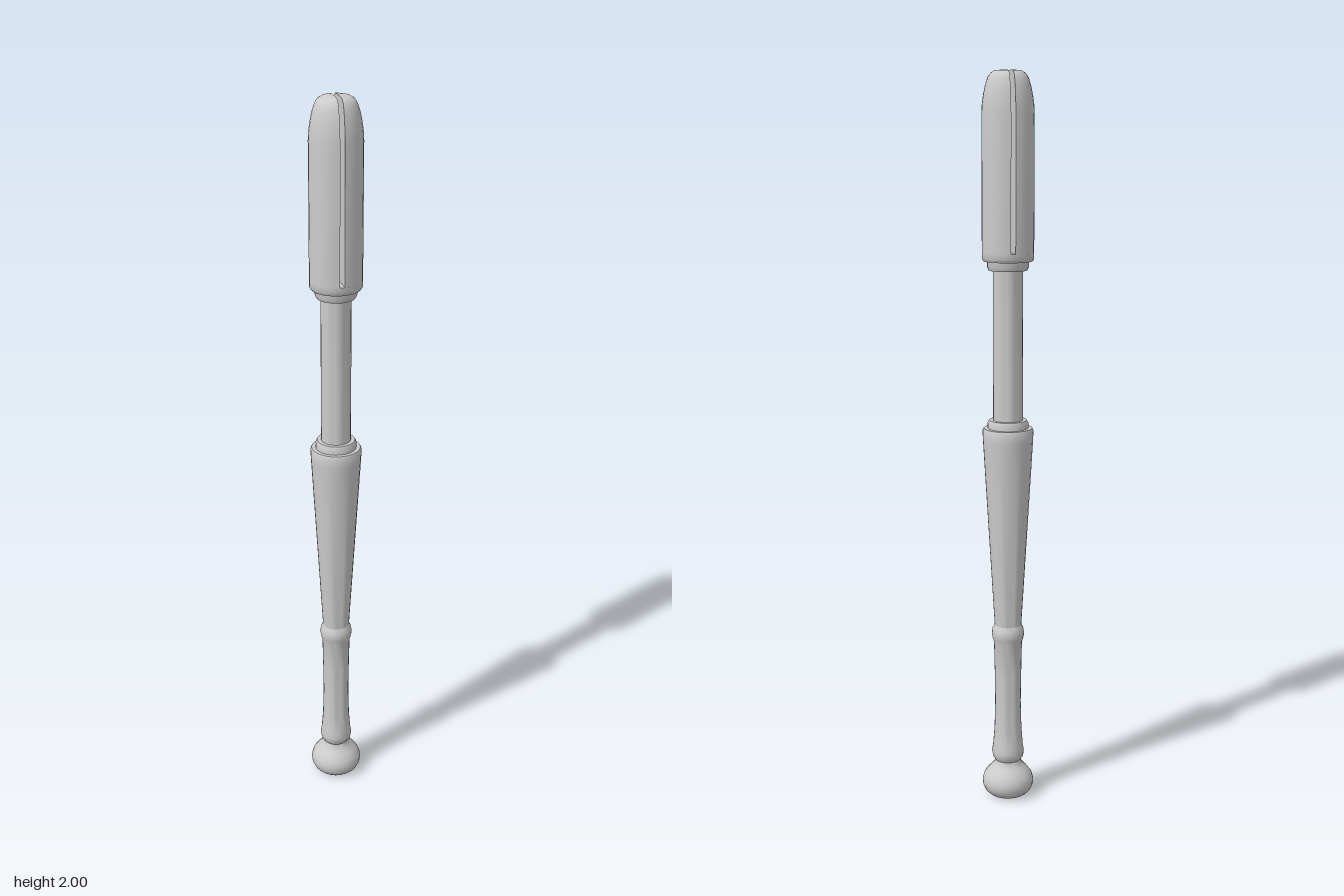
import * as THREE from 'three';
import { toCreasedNormals } from 'three/addons/utils/BufferGeometryUtils.js';

const SIDES = 24;
const material = new THREE.MeshStandardMaterial({ color: 0xcccccc });

function part(name, geometry) {
  const mesh = new THREE.Mesh(toCreasedNormals(geometry, 0.6), material);
  mesh.name = name;
  return mesh;
}

// Turned part from [radius, height] pairs, bottom to top
function turned(name, profile) {
  const points = profile.map(([r, y]) => new THREE.Vector2(r, y));
  return part(name, new THREE.LatheGeometry(points, SIDES));
}

// Half of a turned solid, cut flat at x = gap
function halfTurned(profile, gap) {
  const n = SIDES / 2 + 1;
  const positions = [], indices = [];
  for (const [r, y] of profile) {
    const reach = Math.acos(gap / r);
    for (let i = 0; i < n; i++) {
      const a = -reach + (2 * reach * i) / (n - 1);
      positions.push(r * Math.cos(a), y, r * Math.sin(a));
    }
  }
  for (let j = 0; j < profile.length - 1; j++) {
    for (let i = 0; i < n; i++) {
      const p = j * n + i, q = j * n + ((i + 1) % n);
      indices.push(p, p + n, q, q, p + n, q + n);
    }
  }
  // Top cap
  const top = (profile.length - 1) * n;
  for (let i = 1; i < n - 1; i++) indices.push(top, top + i + 1, top + i);
  const geometry = new THREE.BufferGeometry();
  geometry.setAttribute('position', new THREE.Float32BufferAttribute(positions, 3));
  geometry.setIndex(indices);
  return geometry;
}

export function createModel() {
  const group = new THREE.Group();
  group.name = 'baton';

  // Round pommel with a recess underneath
  group.add(turned('pommel', [
    [0, 0.03], [0.034, 0.03], [0.038, 0.008], [0.044, 0], [0.053, 0.004],
    [0.064, 0.014], [0.071, 0.029], [0.072, 0.044], [0.067, 0.06],
    [0.056, 0.075], [0.045, 0.086], [0.038, 0.096], [0.036, 0.106],
  ]));

  // Grip with a bead at each end
  group.add(turned('grip', [
    [0.036, 0.104], [0.043, 0.115], [0.045, 0.13], [0.042, 0.148],
    [0.038, 0.2], [0.036, 0.28], [0.037, 0.36], [0.039, 0.455],
    [0.043, 0.467], [0.045, 0.48], [0.043, 0.494], [0.037, 0.506],
  ]));

  // Handle widening upward, capped at its rim
  group.add(turned('taperedHandle', [
    [0.037, 0.504], [0.068, 1.03], [0.069, 1.058], [0.066, 1.064], [0.038, 1.064],
  ]));

  // Straight shaft between two collars
  group.add(turned('shaft', [[0.04, 1.06], [0.04, 1.52]]));
  group.add(turned('lowerCollar', [[0.055, 1.06], [0.055, 1.078], [0.051, 1.086], [0.038, 1.086]]));
  group.add(turned('upperCollar', [[0.038, 1.488], [0.051, 1.488], [0.055, 1.496], [0.055, 1.52]]));

  // Solid base of the head
  group.add(turned('headBase', [
    [0.038, 1.512], [0.065, 1.512], [0.069, 1.518], [0.069, 1.535], [0, 1.535],
  ]));

  // Two half-round jaws with a slot between them
  const jaw = halfTurned([
    [0.069, 1.535], [0.069, 1.89], [0.0675, 1.915], [0.064, 1.94], [0.059, 1.963],
    [0.053, 1.981], [0.046, 1.992], [0.036, 1.998], [0.02, 2],
  ], 0.006);
  group.add(part('leftJaw', jaw));
  group.add(part('rightJaw', jaw.clone().rotateY(Math.PI)));

  return group;
}
